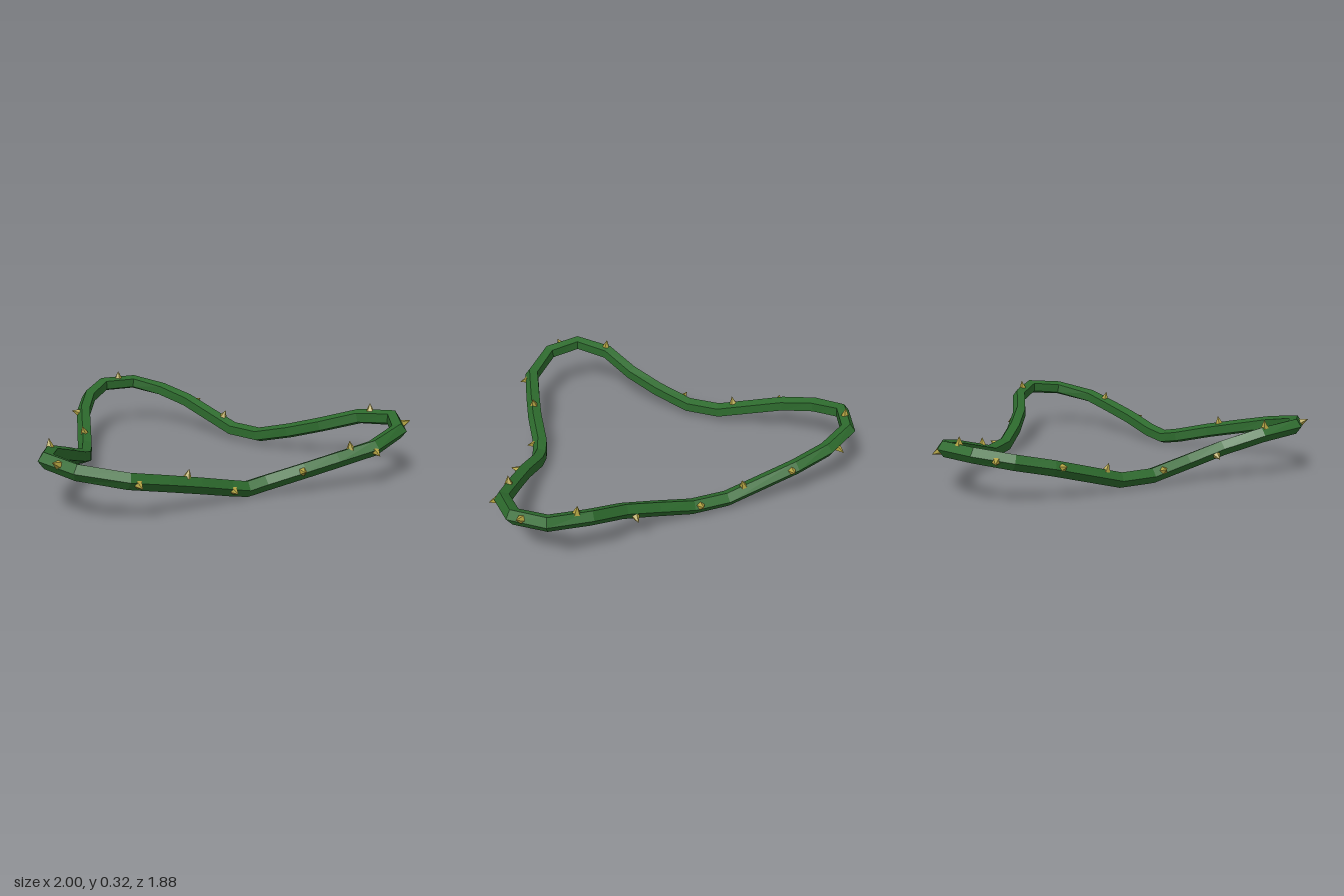
import * as THREE from 'three';

const R = 0.042, SIDES = 5;
const UP = new THREE.Vector3(0, 1, 0);

// Centre line of the left half, from front middle round to the back
const HALF = [
  [0, 0.045, 0.768], [0.1, 0.065, 0.775], [0.29, 0.115, 0.82], [0.46, 0.155, 0.847],
  [0.66, 0.2, 0.873], [0.87, 0.245, 0.79], [0.957, 0.265, 0.62], [0.875, 0.24, 0.43],
  [0.73, 0.175, 0.28], [0.625, 0.115, 0.12], [0.53, 0.06, -0.06], [0.46, 0.06, -0.24],
  [0.335, 0.17, -0.6], [0.24, 0.215, -0.77], [0.1, 0.252, -0.898],
];

// Thorns: x, z and angle in degrees (0 = outward, 90 = up)
const THORNS = [
  [0, -0.89, 90], [0.22, -0.83, -25], [0.35, -0.57, 15], [0.4, -0.32, 80], [0.54, -0.1, 20],
  [0.72, 0.22, -30], [0.89, 0.5, 85], [0.9, 0.73, 25], [0.65, 0.9, -20], [0.54, 0.85, 85],
  [0.27, 0.84, 10], [-0.09, 0.8, -10], [-0.36, 0.82, 85], [-0.62, 0.9, -15], [-0.93, 0.72, 25],
  [-0.87, 0.45, 85], [-0.73, 0.22, -25], [-0.57, -0.02, 20], [-0.41, -0.32, 80],
  [-0.35, -0.57, 20], [-0.2, -0.85, -10],
];

function loopPoints() {
  const half = HALF.map(p => new THREE.Vector3(...p));
  const mirror = half.slice(1).reverse().map(p => new THREE.Vector3(-p.x, p.y, p.z));
  return [...half, ...mirror];
}

// Outward and upward axes across a tangent
function axes(tangent) {
  const out = new THREE.Vector3().crossVectors(tangent, UP).normalize();
  return { out, up: new THREE.Vector3().crossVectors(out, tangent).normalize() };
}

function across({ out, up }, angle) {
  return out.clone().multiplyScalar(Math.cos(angle)).addScaledVector(up, Math.sin(angle));
}

// Closed five-sided stem with one edge facing outward
function stemGeometry(pts) {
  const n = pts.length, pos = [], index = [];
  pts.forEach((p, i) => {
    const before = p.clone().sub(pts[(i + n - 1) % n]).normalize();
    const after = pts[(i + 1) % n].clone().sub(p).normalize();
    const frame = axes(before.add(after).normalize());
    for (let j = 0; j < SIDES; j++) {
      const v = across(frame, j / SIDES * Math.PI * 2).multiplyScalar(R).add(p);
      pos.push(v.x, v.y, v.z);
      const k = (j + 1) % SIDES, next = (i + 1) % n;
      const a = i * SIDES + j, b = next * SIDES + j, c = next * SIDES + k, d = i * SIDES + k;
      index.push(a, b, c, a, c, d);
    }
  });
  const g = new THREE.BufferGeometry();
  g.setAttribute('position', new THREE.Float32BufferAttribute(pos, 3));
  g.setIndex(index);
  g.computeVertexNormals();
  return g;
}

// Nearest place on the centre line, seen from above
function nearest(pts, x, z) {
  let best = { dist: Infinity };
  pts.forEach((a, i) => {
    const dir = pts[(i + 1) % pts.length].clone().sub(a);
    const t = ((x - a.x) * dir.x + (z - a.z) * dir.z) / (dir.x ** 2 + dir.z ** 2);
    const point = a.clone().addScaledVector(dir, THREE.MathUtils.clamp(t, 0, 1));
    const dist = Math.hypot(point.x - x, point.z - z);
    if (dist < best.dist) best = { dist, point, tangent: dir.normalize() };
  });
  return best;
}

export function createModel() {
  const group = new THREE.Group();
  group.name = 'thornyVineLoop';
  const pts = loopPoints();

  const stem = new THREE.Mesh(stemGeometry(pts),
    new THREE.MeshStandardMaterial({ color: 0x2d6a2d, flatShading: true }));
  stem.name = 'vineStem';
  group.add(stem);

  const thorns = new THREE.Group();
  thorns.name = 'thorns';
  const cone = new THREE.ConeGeometry(0.022, 0.045, 5);
  const gold = new THREE.MeshStandardMaterial({ color: 0xb0a040, flatShading: true });
  for (const [x, z, degrees] of THORNS) {
    const { point, tangent } = nearest(pts, x, z);
    const dir = across(axes(tangent), THREE.MathUtils.degToRad(degrees));
    const thorn = new THREE.Mesh(cone, gold);
    thorn.name = 'thorn';
    thorn.position.copy(point).addScaledVector(dir, R + 0.012);
    thorn.quaternion.setFromUnitVectors(UP, dir);
    thorns.add(thorn);
  }
  group.add(thorns);
  return group;
}
